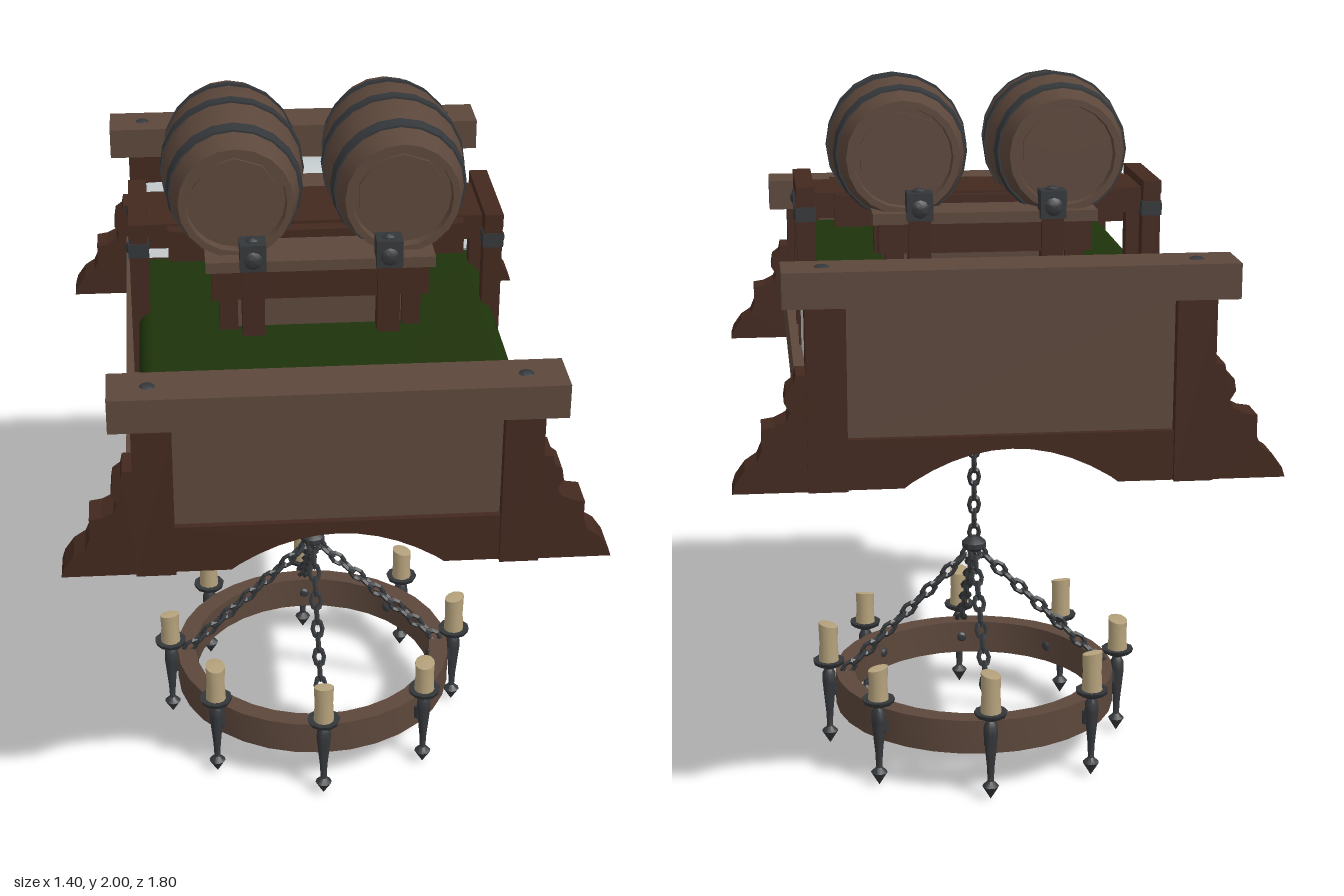
import * as THREE from 'three';
import { mergeGeometries, toCreasedNormals } from 'three/addons/utils/BufferGeometryUtils.js';

const paint = (name, color, side = THREE.FrontSide) =>
  Object.assign(new THREE.MeshStandardMaterial({ color, side }), { name });
const wood = paint('wood', 0x5c473b);
const darkWood = paint('dark wood', 0x43291f);
const metal = paint('iron', 0x34373a);
const green = paint('blanket green', 0x1e330b, THREE.DoubleSide);
const linen = paint('linen', 0xc3cacc, THREE.DoubleSide);
const wax = paint('candle wax', 0xb5a27c);

function add(parent, name, geo, mat, x = 0, y = 0, z = 0) {
  const m = new THREE.Mesh(geo, mat);
  m.name = name;
  m.position.set(x, y, z);
  parent.add(m);
  return m;
}
function group(parent, name, x = 0, y = 0, z = 0) {
  const g = new THREE.Group();
  g.name = name;
  g.position.set(x, y, z);
  parent.add(g);
  return g;
}
// box given by its centre and size
const box = (p, name, mat, x, y, z, w, h, d) => add(p, name, new THREE.BoxGeometry(w, h, d), mat, x, y, z);
const lathe = (pts, n, crease = 0.6) =>
  toCreasedNormals(new THREE.LatheGeometry(pts.map(p => new THREE.Vector2(...p)), n), crease);
// outline extruded along z, centred on z = 0
function slab(pts, depth) {
  const shape = new THREE.Shape(pts.map(p => new THREE.Vector2(...p)));
  return new THREE.ExtrudeGeometry(shape, { depth, bevelEnabled: false }).translate(0, 0, -depth / 2);
}
// rounded bolt head, axis 'x', 'y' or 'z'
function bolt(p, x, y, z, axis, s = 1, r = 0.02) {
  const m = add(p, 'bolt', lathe([[0, -0.012], [r, -0.012], [r, 0.002], [r * 0.6, 0.008], [0, 0.01]], 10), metal, x, y, z);
  if (axis === 'x') m.rotation.z = -s * Math.PI / 2;
  if (axis === 'z') m.rotation.x = s * Math.PI / 2;
  if (axis === 'y' && s < 0) m.rotation.x = Math.PI;
}

// chain of alternating links between two points
const linkGeo = toCreasedNormals(new THREE.TorusGeometry(0.0145, 0.0065, 4, 8), 0.3).scale(1, 1.6, 1);
function chain(p, from, to) {
  const a = new THREE.Vector3(...from), b = new THREE.Vector3(...to);
  const n = Math.round(a.distanceTo(b) / 0.041);
  const q = new THREE.Quaternion().setFromUnitVectors(new THREE.Vector3(0, 1, 0), b.clone().sub(a).normalize());
  const g = group(p, 'chain');
  for (let i = 0; i < n; i++) {
    const l = add(g, 'chainLink', linkGeo, metal);
    l.position.lerpVectors(a, b, (i + 0.5) / n);
    l.quaternion.copy(q);
    l.rotateY((i % 2) * Math.PI / 2);
  }
}

// headboard or footboard: posts, inset panel, arched rail, scrolled feet, cap
function endBoard(p, name, z, capTop) {
  const g = group(p, name, 0, 0, z);
  const base = capTop - 0.09;
  box(g, 'cap', wood, 0, capTop - 0.045, 0, 1.13, 0.09, 0.145);
  box(g, 'panel', wood, 0, (1.18 + base) / 2, 0, 0.84, base - 1.18, 0.05);
  const rail = [[-0.42, 1.07], [-0.27, 1.07]];
  for (let i = 0; i <= 10; i++) {
    const t = -1 + i / 5;
    rail.push([0.25 * t, 1.085 + 0.08 * (1 - t * t)]);
  }
  rail.push([0.27, 1.07], [0.42, 1.07], [0.42, 1.2], [-0.42, 1.2]);
  add(g, 'archedRail', slab(rail, 0.085), darkWood);
  const foot = slab([[0.5, 1.07], [0.698, 1.07], [0.69, 1.095], [0.665, 1.13], [0.635, 1.15], [0.622, 1.18], [0.622, 1.235],
    [0.59, 1.24], [0.56, 1.255], [0.55, 1.275], [0.565, 1.3], [0.56, 1.33], [0.54, 1.345], [0.535, 1.37], [0.5, 1.37]], 0.095);
  for (const s of [-1, 1]) {
    box(g, 'post', darkWood, s * 0.46, (1.07 + base) / 2, 0, 0.1, base - 1.07, 0.115);
    add(g, 'scrollFoot', foot, darkWood).rotation.y = s < 0 ? Math.PI : 0;
    bolt(g, s * 0.465, capTop - 0.004, 0, 'y', 1, 0.023);
  }
}

// cloth hung over the bed: rounded top corners, open below; ends given as [z, half width, top]
function drapeGeometry(back, front, hem) {
  const n = 14, geo = new THREE.PlaneGeometry(2, 1, n, 6), pos = geo.attributes.position, r = 0.04;
  for (let i = 0; i < pos.count; i++) {
    const k = Math.round((pos.getX(i) + 1) * n / 2), j = Math.min(k, n - k), s = k < n / 2 ? -1 : 1;
    const [z, w, top] = back.map((b, c) => THREE.MathUtils.lerp(front[c], b, pos.getY(i) + 0.5));
    const a = (j - 1) * Math.PI / 10;
    if (j === 0) pos.setXYZ(i, s * w, hem, z);
    else if (j <= 6) pos.setXYZ(i, s * (w - r + r * Math.cos(a)), top - r + r * Math.sin(a), z);
    else pos.setXYZ(i, 0, top, z);
  }
  geo.computeVertexNormals();
  return geo;
}

// plump pillow: two grids puffed up, with pinched edges and pointed corners
function pillowGeometry() {
  const halves = [1, -1].map(s => {
    const geo = new THREE.PlaneGeometry(2, 2, 24, 18).rotateX(-s * Math.PI / 2);
    const pos = geo.attributes.position;
    for (let i = 0; i < pos.count; i++) {
      const u = pos.getX(i), v = pos.getZ(i);
      const puff = Math.pow(Math.max(0, (1 - u * u) * (1 - v * v)), 0.45);
      pos.setXYZ(i, 0.375 * u * (1 - 0.1 * (1 - v * v)), s * (s > 0 ? 0.113 : 0.025) * puff,
        0.155 * v * (1 - 0.17 * (1 - u * u)));
    }
    geo.computeVertexNormals();
    return geo;
  });
  return mergeGeometries(halves);
}

function bed(p) {
  const g = group(p, 'bed');
  endBoard(g, 'footboard', 0.825, 1.58);
  endBoard(g, 'headboard', -0.83, 1.63);
  add(g, 'blanket', drapeGeometry([-0.2, 0.487, 1.45], [0.775, 0.487, 1.45], 1.2), green);
  add(g, 'sheet', drapeGeometry([-0.775, 0.488, 1.45], [-0.17, 0.5, 1.468], 1.25), linen);
  add(g, 'pillow', pillowGeometry(), linen, 0, 1.472, -0.585);
  for (const s of [-1, 1]) {
    box(g, 'sideRail', wood, s * 0.507, 1.205, -0.005, 0.042, 0.13, 1.53);
    for (const z of [-0.72, 0.72]) bolt(g, s * 0.526, 1.21, z, 'x', s);
    // corbel under each side
    const c = add(g, 'corbel', slab([[-0.04, 1.14], [-0.04, 0.92], [-0.07, 0.92], [-0.085, 0.94], [-0.08, 0.98],
      [-0.1, 1.01], [-0.14, 1.02], [-0.16, 1.04], [-0.2, 1.045], [-0.22, 1.07], [-0.22, 1.14]], 0.042), darkWood, s * 0.37);
    c.rotation.y = Math.PI / 2;
  }
}

// stand that passes through the bed and carries the barrels
function stand(p) {
  const g = group(p, 'barrelStand');
  box(g, 'deck', wood, 0, 1.645, 0, 0.61, 0.03, 0.6);
  box(g, 'chest', wood, 0, 1.375, 0, 0.5, 0.51, 0.5);
  box(g, 'crossShelf', darkWood, 0, 1.655, -0.01, 0.92, 0.07, 0.23);
  box(g, 'underPlate', wood, 0, 1.135, 0, 0.56, 0.03, 0.56);
  add(g, 'underDisc', lathe([[0, -0.02], [0.1, -0.02], [0.13, -0.005], [0.13, 0.01], [0, 0.01]], 20), metal, 0, 1.115, 0);
  // notched cradles
  const cradle = [[-0.4, 1.6], [0.4, 1.6], [0.4, 1.69]];
  for (const cx of [0.22, -0.22])
    for (let i = 0; i <= 8; i++) {
      const a = -0.8 - i * (Math.PI - 1.6) / 8;
      cradle.push([cx + 0.178 * Math.cos(a), 1.81 + 0.178 * Math.sin(a)]);
    }
  cradle.push([-0.4, 1.69]);
  for (const s of [-1, 1]) {
    add(g, 'cradle', slab(cradle, 0.04), darkWood, 0, 0, s * 0.13);
    box(g, 'ledge', darkWood, 0, 1.59, s * 0.27, 0.58, 0.08, 0.05);
    box(g, 'lowerBeam', darkWood, 0, 1.125, s * 0.265, 0.58, 0.035, 0.05);
    box(g, 'sideArm', darkWood, s * 0.48, 1.695, 0, 0.05, 0.035, 0.32);
    box(g, 'lowerRunner', darkWood, s * 0.18, 1.09, 0, 0.06, 0.06, 0.6);
    for (const t of [-1, 1]) {
      box(g, 'sidePost', darkWood, s * 0.48, 1.41, t * 0.127, 0.05, 0.56, 0.05);
      box(g, 'sideStrap', metal, s * 0.48, 1.635, t * 0.127, 0.056, 0.04, 0.055);
      bolt(g, s * 0.505, 1.635, t * 0.127, 'x', s, 0.017);
      box(g, 'chestCorner', darkWood, s * 0.245, 1.375, t * 0.245, 0.05, 0.51, 0.05);
      box(g, 'uprightPost', darkWood, s * 0.18, 1.37, t * 0.285, 0.06, 0.6, 0.055);
      // clamps at the top and bottom of each upright
      for (const [y, v] of [[1.68, 1], [1.075, -1]]) {
        box(g, 'clamp', metal, s * 0.18, y, t * 0.293, 0.07, 0.075, 0.065);
        bolt(g, s * 0.18, y - v * 0.005, t * 0.326, 'z', t, 0.025);
        bolt(g, s * 0.18, y + v * 0.038, t * 0.29, 'y', v, 0.018);
      }
    }
  }
}

// barrel lying along z
function barrel(p, x) {
  const g = group(p, 'barrel', x, 1.805, -0.01);
  g.rotation.x = Math.PI / 2;
  const L = 0.26, rad = y => 0.191 - 0.038 * (y / L) ** 2;
  const staves = [[0, -L + 0.025], [0.132, -L + 0.025], [0.135, -L]];
  for (let i = 0; i <= 8; i++) {
    const y = -L + i * L / 4;
    staves.push([rad(y), y]);
  }
  staves.push([0.135, L], [0.132, L - 0.025], [0, L - 0.025]);
  add(g, 'staves', lathe(staves, 20, 0.35), wood);
  for (const y of [-0.165, 0, 0.165]) {
    const a = y - 0.018, b = y + 0.018;
    add(g, 'hoop', lathe([[rad(a) - 0.01, a], [rad(a) + 0.005, a], [rad(b) + 0.005, b], [rad(b) - 0.01, b]], 20, 0.35), metal);
  }
  // raised head boards
  for (const s of [-1, 1])
    add(g, 'headBoard', new THREE.CylinderGeometry(0.12, 0.12, 0.016, 10), wood, 0, s * (L - 0.024), 0);
}

function chandelier(p) {
  const g = group(p, 'chandelier');
  add(g, 'ring', lathe([[0.36, 0.13], [0.415, 0.13], [0.415, 0.23], [0.36, 0.23], [0.36, 0.13]], 32, 0.3), wood);
  add(g, 'hub', lathe([[0, 0.59], [0.02, 0.595], [0.036, 0.608], [0.036, 0.622], [0.018, 0.638], [0, 0.642]], 10), metal);
  chain(g, [0, 0.63, 0], [0, 1.1, 0]);
  chain(g, [-0.23, 1.085, 0], [0.12, 1.085, 0]);
  const spike = lathe([[0, 0], [0.024, 0.04], [0.009, 0.055], [0.011, 0.1], [0.021, 0.2], [0.02, 0.225], [0.012, 0.24],
    [0.044, 0.256], [0.048, 0.268], [0, 0.264]], 10, 0.9);
  for (let i = 0; i < 8; i++) {
    const a = i * Math.PI / 4, h = i % 3 === 1 ? 0.095 : 0.115;
    const arm = group(g, 'candleArm');
    arm.rotation.y = a;
    add(arm, 'spikeHolder', spike, metal, 0.435, 0, 0);
    box(arm, 'holderStrap', metal, 0.412, 0.18, 0, 0.03, 0.04, 0.035);
    bolt(arm, 0.36, 0.18, 0, 'x', -1, 0.015);
    // slightly slumped candle
    const candle = lathe([[0, 0], [0.03, 0], [0.027, h * 0.5], [0.029, h], [0, h + 0.004]], 12, 0.9);
    const pos = candle.attributes.position;
    for (let k = 0; k < pos.count; k++)
      if (pos.getY(k) > h * 0.9) pos.setY(k, pos.getY(k) + 0.25 * pos.getX(k));
    add(arm, 'candle', candle, wax, 0.435, 0.264, 0).rotation.y = i * 2.1;
    if (i % 2 === 0) chain(g, [0, 0.61, 0], [0.39 * Math.cos(a), 0.225, -0.39 * Math.sin(a)]);
  }
}

export function createModel() {
  const root = new THREE.Group();
  root.name = 'bedWithBarrelsAndChandelier';
  bed(root);
  stand(root);
  barrel(root, -0.22);
  barrel(root, 0.22);
  chandelier(root);
  return root;
}
